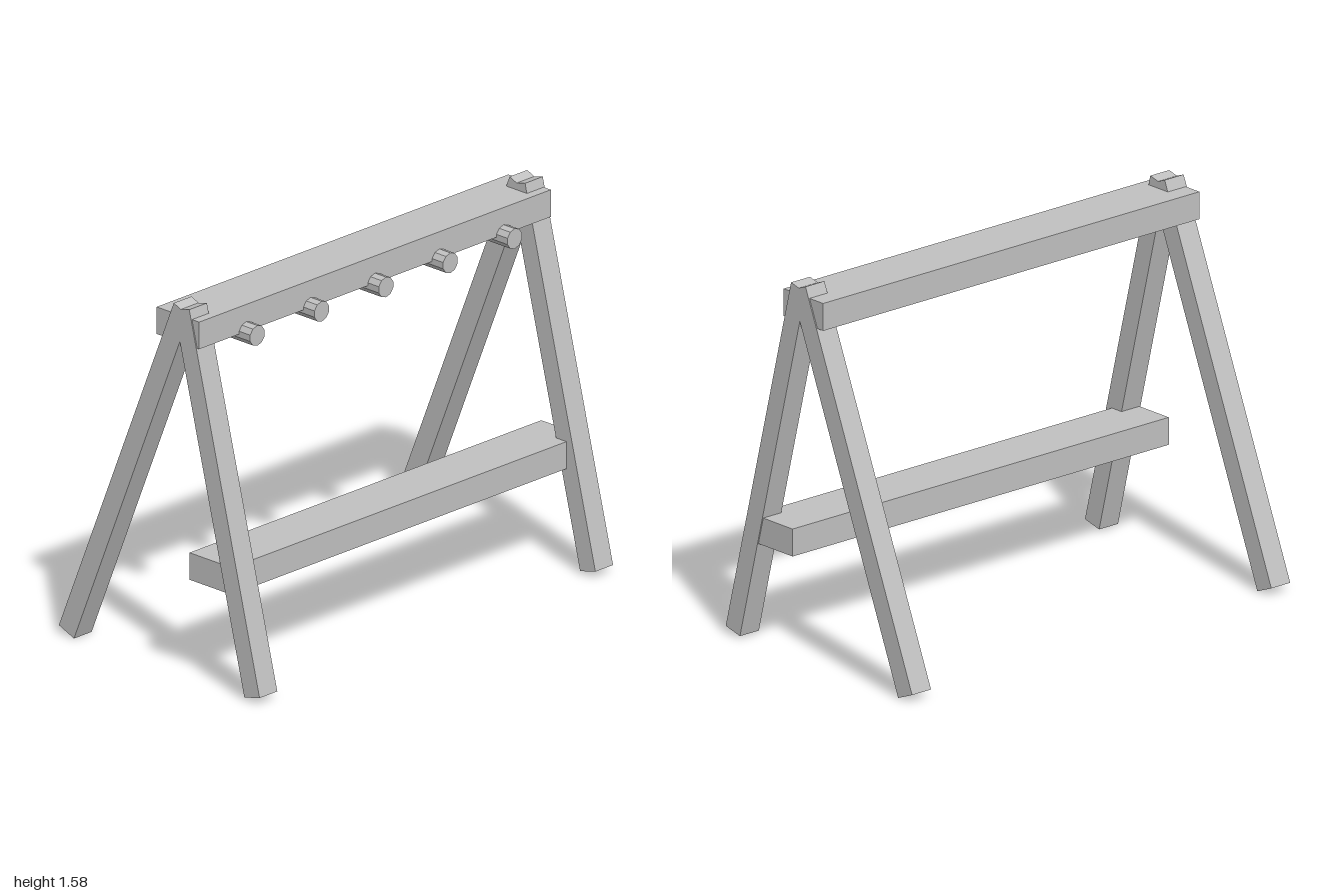
import * as THREE from 'three';

export function createModel() {
  const group = new THREE.Group();
  const grey = new THREE.MeshStandardMaterial({ color: 0xc0c0c0, flatShading: true });
  grey.name = 'plain grey';

  const add = (name, geometry, x, y, z, tilt = 0) => {
    const mesh = new THREE.Mesh(geometry, grey);
    mesh.name = name;
    mesh.position.set(x, y, z);
    mesh.rotation.x = tilt;
    group.add(mesh);
  };

  // Square leg running from a foot to a head point, both given as [z, y]
  const addLeg = (name, x, [z0, y0], [z1, y1], depth) => {
    const length = Math.hypot(z1 - z0, y1 - y0);
    add(name, new THREE.BoxGeometry(0.1, length, depth),
      x, (y0 + y1) / 2, (z0 + z1) / 2, Math.atan2(z1 - z0, y1 - y0));
  };

  // Crossed A-frame legs at each end
  for (const [side, x] of [['left', 0.95], ['right', -0.95]]) {
    addLeg(side + 'FrontLeg', x, [0.513, 0.021], [0.124, 1.565], 0.087);
    addLeg(side + 'BackLeg', x, [-0.513, 0.018], [0.122, 1.563], 0.09);
  }

  // Top beam and lower shelf
  add('topBeam', new THREE.BoxGeometry(1.99, 0.115, 0.235), 0, 1.4775, 0.0985);
  add('shelf', new THREE.BoxGeometry(1.99, 0.115, 0.232), 0, 0.4825, 0.279);

  // Row of hanging pegs set into the underside of the beam
  const peg = new THREE.CylinderGeometry(0.043, 0.043, 0.175, 10);
  for (let i = -2; i <= 2; i++) {
    add('peg', peg, i * 0.364, 1.419, 0.1895, Math.PI / 2);
  }
  return group;
}
